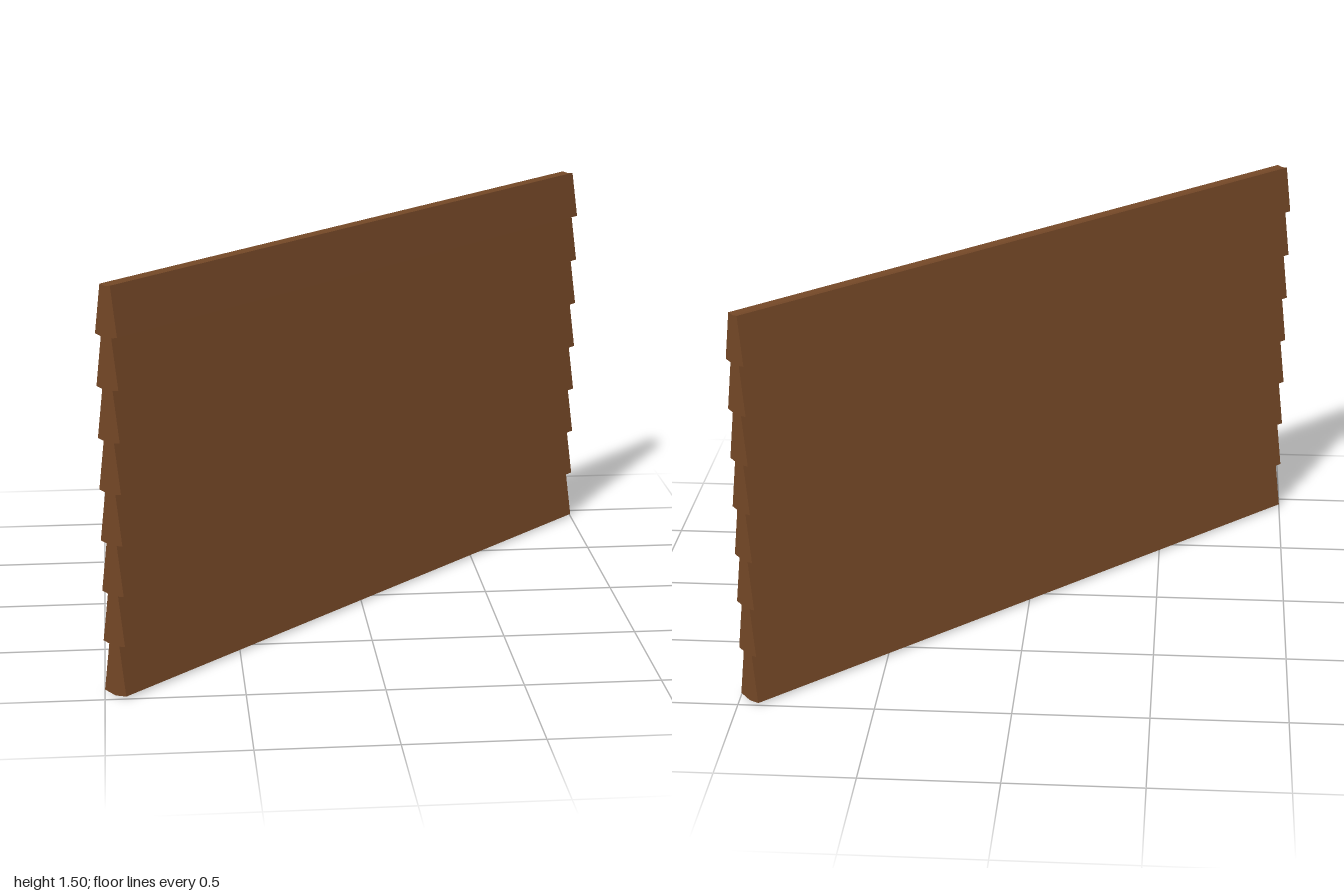
import * as THREE from 'three';

export function createModel() {
  const wood = new THREE.MeshStandardMaterial({ color: 0x734726 });
  wood.name = 'brown wood';

  const boards = 8, pitch = 0.187, length = 2.722;
  const lip = 0.053, neck = 0.025; // half thickness at the foot and head of a board

  // One side of the sawtooth section: tilted boards, each overhanging the one below
  const side = [];
  for (let i = 0; i < boards; i++) {
    const y = i * pitch;
    side.push([lip, y + 0.009], [neck, y + (i < boards - 1 ? pitch + 0.004 : 0.188)]);
  }

  // Closed section, mirrored, with a shallow ridge below and groove above
  const section = new THREE.Shape([
    new THREE.Vector2(0, 0),
    ...side.map(([x, y]) => new THREE.Vector2(x, y)),
    new THREE.Vector2(0, (boards - 1) * pitch + 0.184),
    ...side.slice().reverse().map(([x, y]) => new THREE.Vector2(-x, y)),
  ]);

  // Run the section along the wall and set it on the diagonal
  const geometry = new THREE.ExtrudeGeometry(section, { depth: length, bevelEnabled: false });
  geometry.translate(0, 0, -length / 2);
  const wall = new THREE.Mesh(geometry, wood);
  wall.name = 'clapboardWall';
  wall.rotation.y = (3 * Math.PI) / 4;

  const model = new THREE.Group();
  model.name = 'woodenWall';
  model.add(wall);
  return model;
}
